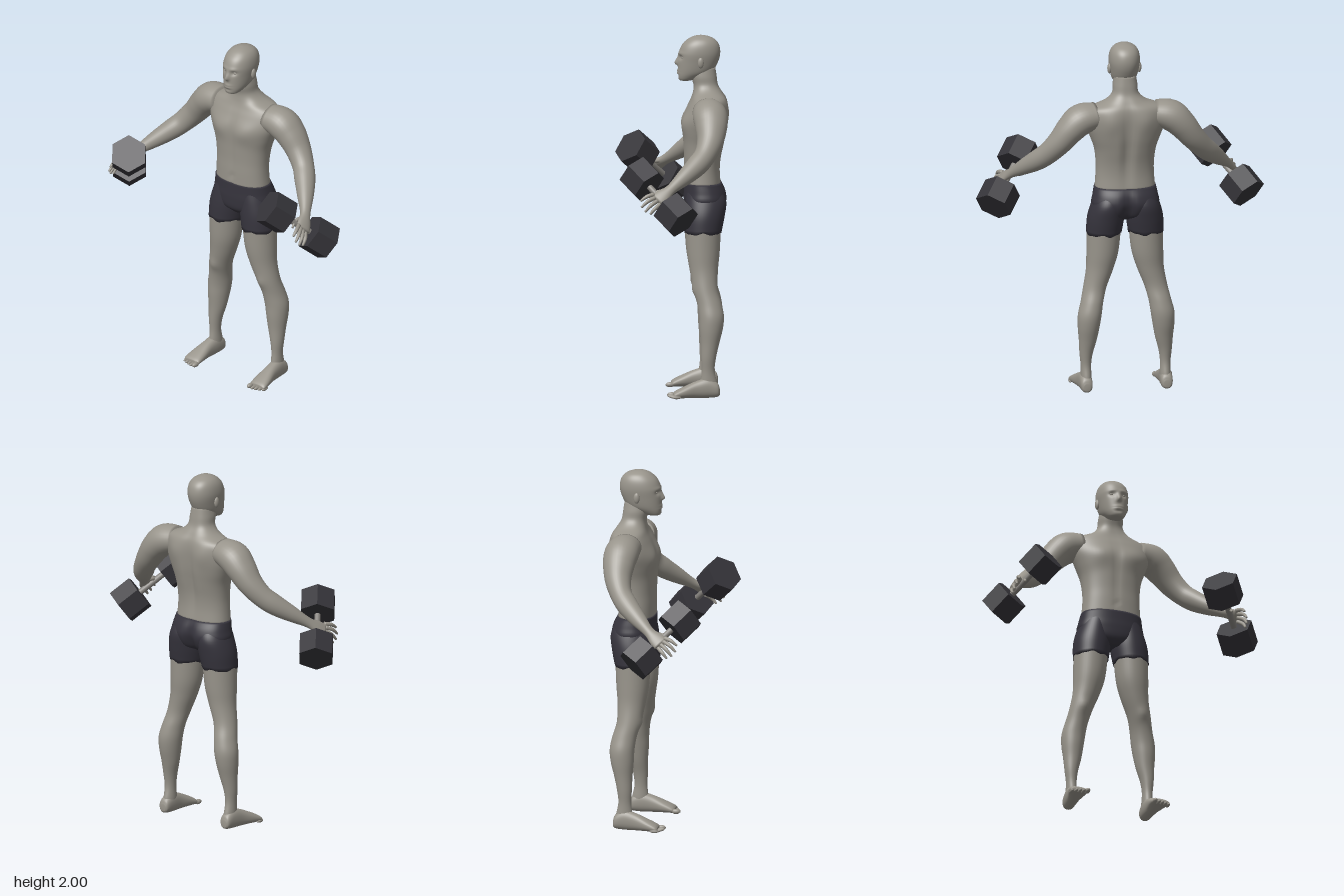
import * as THREE from 'three';
import { toCreasedNormals } from 'three/addons/utils/BufferGeometryUtils.js';

const V = (x, y, z) => new THREE.Vector3(x, y, z);
const mat = (name, color) => {
  const m = new THREE.MeshStandardMaterial({ color });
  m.name = name;
  return m;
};
const gauss = (d, w) => Math.exp(-(d * d) / (w * w));

// Closed loft through rows of [x, y, z, r1, r2]; r1 lies along the ref direction.
// A fixed axis keeps all rings parallel, otherwise they follow the path.
function loft(rows, { axis, ref = V(0, 0, 1), refEnd = ref, n = 32, steps = 5, power = 2, tweak } = {}) {
  const path = new THREE.CatmullRomCurve3(rows.map(r => V(r[0], r[1], r[2])));
  const size = new THREE.CatmullRomCurve3(rows.map(r => V(r[3], r[4], 0)), false, 'catmullrom');
  path.curveType = 'catmullrom';
  const count = (rows.length - 1) * steps;
  const pos = [], idx = [];
  const bend = c => Math.sign(c) * Math.pow(Math.abs(c), 2 / power);
  for (let k = 0; k <= count; k++) {
    const t = k / count, c = path.getPoint(t), s = size.getPoint(t);
    const d = axis || path.getTangent(t);
    const e1 = ref.clone().lerp(refEnd, t);
    e1.addScaledVector(d, -e1.dot(d)).normalize();
    const e2 = d.clone().cross(e1);
    for (let i = 0; i < n; i++) {
      const a = (i / n) * Math.PI * 2;
      const v = c.clone().addScaledVector(e1, s.x * bend(Math.cos(a))).addScaledVector(e2, s.y * bend(Math.sin(a)));
      if (tweak) tweak(v, Math.cos(a), a);
      pos.push(v.x, v.y, v.z);
    }
  }
  for (let k = 0; k < count; k++) for (let i = 0; i < n; i++) {
    const a = k * n + i, b = k * n + (i + 1) % n;
    idx.push(a, b, b + n, a, b + n, a + n);
  }
  // end caps
  const first = path.getPoint(0), last = path.getPoint(1), f = pos.length / 3;
  pos.push(first.x, first.y, first.z, last.x, last.y, last.z);
  for (let i = 0; i < n; i++) {
    const j = (i + 1) % n;
    idx.push(f, j, i, f + 1, count * n + i, count * n + j);
  }
  const g = new THREE.BufferGeometry();
  g.setAttribute('position', new THREE.Float32BufferAttribute(pos, 3));
  g.setIndex(idx);
  g.computeVertexNormals();
  return g;
}

const UP = V(0, 1, 0);
// Horizontal body sections given as [y, half width, front z, back z]
const body = (rows, opts) => loft(rows.map(([y, w, f, b]) => [0, y, (f + b) / 2, (f - b) / 2, w]), { axis: UP, n: 64, ...opts });

function ellipsoid(x, y, z, rx, ry, rz) {
  return new THREE.SphereGeometry(1, 20, 14).scale(rx, ry, rz).translate(x, y, z);
}

function mirrored(geometry) {
  const g = geometry.clone().applyMatrix4(new THREE.Matrix4().makeScale(-1, 1, 1));
  const src = g.index ? Array.from(g.index.array) : Array.from({ length: g.attributes.position.count }, (_, i) => i);
  for (let i = 0; i < src.length; i += 3) [src[i + 1], src[i + 2]] = [src[i + 2], src[i + 1]];
  g.setIndex(src);
  return g;
}

export function createModel() {
  const root = new THREE.Group();
  root.name = 'athlete';
  const skin = mat('skin', 0x98948b), cloth = mat('shorts', 0x36343d);
  const iron = mat('iron', 0x353439), steel = mat('steel', 0x85827d);
  const add = (name, g, m) => {
    const mesh = new THREE.Mesh(g, m);
    mesh.name = name;
    root.add(mesh);
  };
  const pair = (name, g, m) => {
    add(name + 'Left', g, m);
    add(name + 'Right', mirrored(g), m);
  };

  // Torso and neck, with chest, navel line, spine groove and shoulder blades
  add('torso', body([
    [1.17, .169, -.062, -.266], [1.25, .163, -.06, -.262], [1.32, .163, -.06, -.268], [1.40, .173, -.056, -.285],
    [1.47, .197, -.054, -.298], [1.54, .222, -.06, -.303], [1.60, .225, -.08, -.303], [1.645, .2, -.1, -.295],
    [1.68, .115, -.11, -.275], [1.72, .074, -.113, -.252], [1.77, .068, -.1, -.243], [1.82, .06, -.1, -.235],
  ], {
    power: 2.25,
    tweak(v, c) {
      const x = Math.abs(v.x);
      if (c > 0) {
        v.z += c * .016 * gauss(x - .09, .075) * gauss(v.y - 1.51, .055);
        v.z -= c * .008 * gauss(x, .018) * gauss(v.y - 1.4, .2);
        v.z -= c * .006 * gauss(x, .012) * gauss(v.y - 1.225, .012);
      } else {
        v.z -= c * .022 * gauss(x, .03) * gauss(v.y - 1.42, .2);
        v.z += c * .012 * gauss(x - .1, .05) * gauss(v.y - 1.57, .07);
      }
    },
  }), skin);

  // Head with eye sockets, brow, nose and lips
  add('head', body([
    [1.744, .018, -.05, -.085], [1.75, .038, -.034, -.115], [1.77, .055, -.027, -.165], [1.80, .07, -.027, -.22],
    [1.85, .08, -.028, -.25], [1.90, .086, -.032, -.262], [1.945, .08, -.05, -.255], [1.975, .063, -.08, -.232],
    [1.992, .036, -.112, -.197], [1.999, .008, -.145, -.163],
  ], {
    steps: 8, n: 96, power: 2.15,
    tweak(v, c) {
      if (c < .3) return;
      const x = Math.abs(v.x), y = v.y;
      v.z -= .012 * gauss(x - .034, .017) * gauss(y - 1.878, .013);
      v.z += .004 * gauss(x - .03, .03) * gauss(y - 1.9, .01);
      v.z += .02 * gauss(x, .012) * (y > 1.843 ? gauss(y - 1.843, .03) : gauss(y - 1.843, .011));
      v.z += .005 * gauss(x, .024) * (gauss(y - 1.802, .006) + gauss(y - 1.788, .006));
      v.z -= .004 * gauss(x, .02) * gauss(y - 1.773, .008);
    },
  }), skin);
  pair('eye', ellipsoid(.033, 1.878, -.053, .012, .008, .009), skin);
  pair('ear', ellipsoid(.084, 1.853, -.152, .012, .03, .017).rotateY(0), skin);

  // Shorts: hips with a seat groove, and two legs with a wavy hem
  add('shortsHips', body([
    [.985, .05, -.1, -.22], [1.02, .15, -.068, -.272], [1.08, .188, -.06, -.298],
    [1.13, .182, -.06, -.292], [1.18, .172, -.06, -.268],
  ], {
    power: 2.3,
    tweak(v, c) { if (c < 0) v.z -= c * .03 * gauss(v.x, .028) * gauss(v.y - 1.04, .09); },
  }), cloth);
  pair('shortsLeg', loft([
    [.118, .91, -.163, .103, .099], [.109, 1.0, -.172, .112, .103],
    [.099, 1.08, -.18, .113, .092], [.085, 1.15, -.172, .095, .078],
  ], { axis: UP, n: 48, tweak(v, c, a) { if (v.y < .925) v.y += .005 * Math.sin(a * 5) + .003 * Math.sin(a * 9); } }), cloth);

  // Legs from ankle to thigh
  pair('leg', loft([
    [.222, .04, -.197, .038, .028], [.222, .08, -.194, .046, .03], [.223, .15, -.19, .036, .029],
    [.222, .22, -.192, .041, .037], [.214, .3, -.2, .051, .05], [.21, .38, -.207, .064, .061],
    [.204, .45, -.209, .069, .066], [.19, .52, -.198, .068, .063], [.17, .6, -.177, .068, .065],
    [.142, .7, -.168, .078, .076], [.126, .8, -.165, .091, .089], [.118, .94, -.164, .099, .096],
  ], { axis: UP, n: 36, tweak(v, c) { if (c > 0) v.z += c * .008 * gauss(v.y - .595, .03) * gauss(v.x - .17, .03); } }), skin);

  // Feet and toes
  pair('foot', loft([
    [.225, .035, -.254, .018, .02], [.225, .045, -.24, .032, .04], [.226, .055, -.19, .036, .055],
    [.23, .047, -.125, .038, .047], [.235, .033, -.06, .048, .033], [.238, .021, -.012, .052, .021],
    [.238, .015, .004, .046, .013],
  ], { axis: V(0, 0, 1), ref: V(1, 0, 0), power: 2.3 }), skin);
  for (let i = 0; i < 5; i++) {
    const r = i ? .0095 : .014;
    pair('toe' + (i + 1), ellipsoid(i ? .2 + i * .0205 : .198, r, .012 - i * i * .0016, r, r, .025), skin);
  }

  // Arms from shoulder to palm; the palm turns to lie along the dumbbell
  const inner = V(.535, 1.27, .185), outer = V(.685, 1.09, 0);
  const grip = inner.clone().sub(outer).normalize();
  pair('arm', loft([
    [.16, 1.598, -.19, .085, .072], [.25, 1.58, -.2, .096, .087], [.31, 1.53, -.205, .09, .08],
    [.37, 1.455, -.198, .074, .069], [.43, 1.385, -.168, .061, .061], [.48, 1.335, -.122, .059, .057],
    [.54, 1.28, -.055, .047, .045], [.603, 1.222, .022, .03, .026], [.635, 1.19, .07, .041, .019],
    [.655, 1.167, .104, .043, .014],
  ], { refEnd: grip }), skin);

  // Fingers and thumb, as [base, middle, tip]
  const digits = {
    indexFinger: [[.638, 1.197, .12], [.655, 1.187, .16], [.66, 1.163, .195]],
    middleFinger: [[.648, 1.18, .115], [.668, 1.162, .155], [.674, 1.13, .19]],
    ringFinger: [[.653, 1.163, .102], [.676, 1.14, .138], [.682, 1.105, .17]],
    littleFinger: [[.656, 1.147, .085], [.68, 1.122, .116], [.684, 1.092, .142]],
    thumb: [[.612, 1.21, .05], [.6, 1.205, .1], [.607, 1.178, .138]],
  };
  for (const [name, [a, b, c]] of Object.entries(digits))
    pair(name, loft([[...a, .012, .012], [...b, .0105, .0105], [...c, .006, .006]], { ref: grip, n: 12, steps: 6 }), skin);

  // Dumbbells: two six-sided heads joined by a bar
  const side = UP.clone().cross(grip).normalize();
  const basis = new THREE.Matrix4().makeBasis(side, grip, side.clone().cross(grip));
  const bar = (r, h, sides, at) => new THREE.CylinderGeometry(r, r, h, sides).applyMatrix4(basis).translate(at.x, at.y, at.z);
  pair('dumbbellHeadInner', toCreasedNormals(bar(.105, .135, 6, inner), .5), iron);
  pair('dumbbellHeadOuter', toCreasedNormals(bar(.105, .135, 6, outer), .5), iron);
  pair('dumbbellBar', bar(.017, .2, 20, inner.clone().add(outer).multiplyScalar(.5)), steel);

  return root;
}
